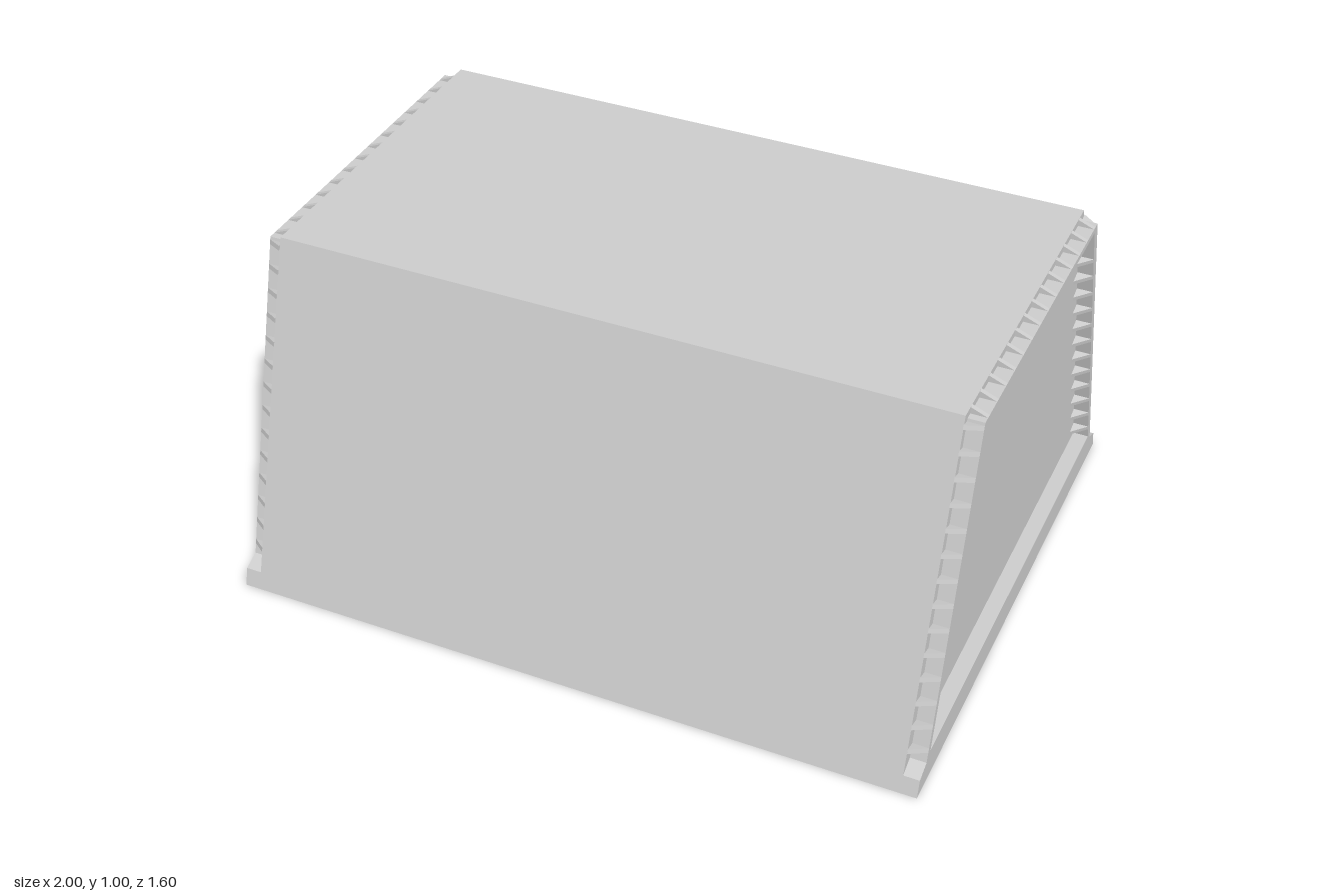
import * as THREE from 'three';

const BODY = 0.955;   // half length of the solid body
const RIM = 0.045;    // depth of each end frame

const toShape = (pts, Type = THREE.Shape) => new Type(pts.map(([z, y]) => new THREE.Vector2(z, y)));

// Extrudes a z-y profile along x, starting at x0
function extrudeX(shape, x0, depth) {
  const g = new THREE.ExtrudeGeometry(shape, { depth, bevelEnabled: false });
  g.rotateY(Math.PI / 2);
  g.translate(x0, 0, 0);
  return g;
}

export function createModel() {
  const model = new THREE.Group();
  model.name = 'trapezoidBlock';
  const grey = new THREE.MeshStandardMaterial({ color: 0xcccccc });
  grey.name = 'light grey';

  const add = (parent, geometry, name) => {
    const m = new THREE.Mesh(geometry, grey);
    m.name = name;
    parent.add(m);
    return m;
  };

  // Solid body
  add(model, extrudeX(toShape([[-0.8, 0], [0.8, 0], [0.5, 1], [-0.5, 1]]), -BODY, BODY * 2), 'body');

  // End frame: sill and thin raised rim around a recessed panel
  const frameShape = toShape([
    [-0.8, 0], [0.8, 0], [0.785, 0.05], [0.738, 0.07],
    [0.482, 0.98], [-0.482, 0.98], [-0.738, 0.07], [-0.785, 0.05],
  ]);
  frameShape.holes.push(toShape([[-0.712, 0.09], [-0.46, 0.963], [0.46, 0.963], [0.712, 0.09]], THREE.Path));
  const frameGeo = extrudeX(frameShape, BODY, RIM);

  // Wedge rib of unit length, deepest against the body
  const ribGeo = new THREE.ExtrudeGeometry(
    toShape([[0, 0], [RIM, 0], [0, 1]]), { depth: 0.013, bevelEnabled: false });
  ribGeo.translate(0, 0, -0.0065);

  const xAxis = new THREE.Vector3(1, 0, 0);
  function addRib(parent, z, y, dz, dy, length, name) {
    const dir = new THREE.Vector3(0, dy, dz).normalize();
    const side = new THREE.Vector3().crossVectors(xAxis, dir);
    const rib = add(parent, ribGeo, name);
    rib.quaternion.setFromRotationMatrix(new THREE.Matrix4().makeBasis(xAxis, dir, side));
    rib.position.set(BODY, y, z);
    rib.scale.y = length;
  }

  for (const [name, turn] of [['leftEnd', 0], ['rightEnd', Math.PI]]) {
    const end = new THREE.Group();
    end.name = name;
    end.rotation.y = turn;
    add(end, frameGeo, 'endFrame');

    // Ribs along the top edge
    for (let i = 0; i < 14; i++) addRib(end, -0.455 + i * 0.07, 0.98, 0, 1, 0.019, 'topOuterRib');
    for (let i = 0; i < 13; i++) addRib(end, -0.417 + i * 0.0695, 0.963, 0, -1, 0.032, 'topInnerRib');

    // Ribs along both sloping edges
    for (const s of [1, -1]) {
      for (let i = 0; i < 14; i++) {
        const y = 0.105 + i * 0.0662;
        const z = 0.738 - (y - 0.07) * 0.2813;
        addRib(end, s * z, y, s * 0.958, 0.287, 0.038 - 0.0007 * i, 'sideOuterRib');
      }
      for (let i = 0; i < 12; i++) {
        const y = 0.13 + i * 0.0657;
        const z = 0.712 - (y - 0.09) * 0.2887;
        addRib(end, s * z, y, -s * 0.958, -0.287, 0.035, 'sideInnerRib');
      }
    }
    model.add(end);
  }
  return model;
}
